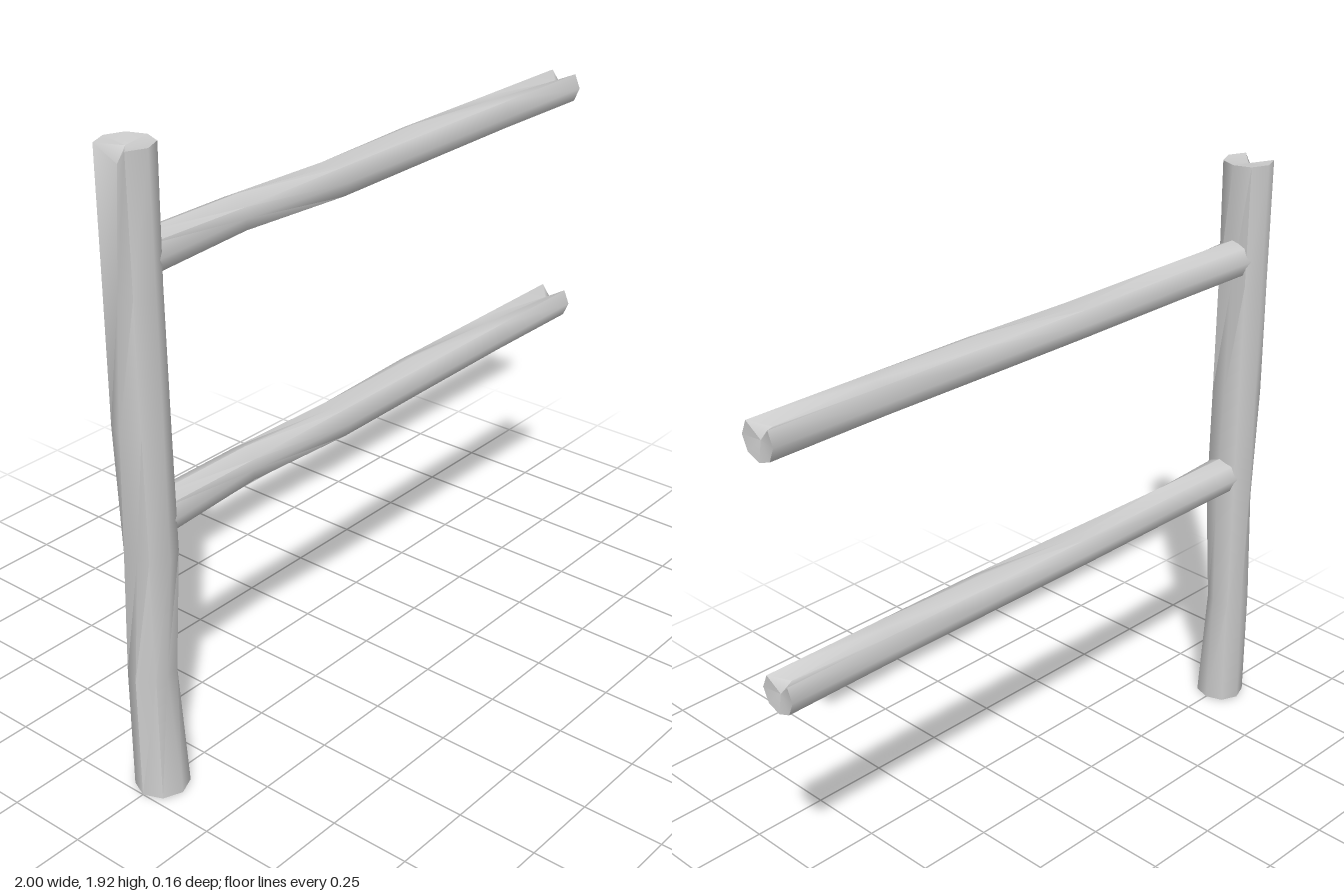
import * as THREE from 'three';
import { toCreasedNormals } from 'three/addons/utils/BufferGeometryUtils.js';

const LENGTH = 1.92;
const SIDES = 8;

// Radii of the rough log at each ring, going from +x through +z, -x and -z
const RINGS = [
  [0.075, 0.079, 0.08, 0.08, 0.08, 0.079, 0.077, 0.077],
  [0.063, 0.058, 0.043, 0.06, 0.08, 0.079, 0.072, 0.076],
  [0.073, 0.079, 0.08, 0.072, 0.045, 0.068, 0.078, 0.078],
  [0.064, 0.076, 0.08, 0.079, 0.08, 0.079, 0.078, 0.077],
  [0.053, 0.074, 0.08, 0.079, 0.056, 0.078, 0.078, 0.075],
  [0.076, 0.078, 0.08, 0.079, 0.03, 0.078, 0.078, 0.078],
];

function logGeometry() {
  const pos = [];
  const index = [];
  const last = RINGS.length - 1;
  RINGS.forEach((ring, j) => ring.forEach((r, i) => {
    const a = (i / SIDES) * Math.PI * 2;
    // One rim corner at the top is chipped
    const chip = j === last && i === 4 ? 0.05 : 0;
    pos.push(r * Math.cos(a), (LENGTH * j) / last - chip, r * Math.sin(a));
  }));
  const bottom = pos.length / 3;
  const top = bottom + 1;
  pos.push(0, 0, 0, 0, LENGTH - 0.01, 0);

  for (let i = 0; i < SIDES; i++) {
    const n = (i + 1) % SIDES;
    for (let j = 0; j < last; j++) {
      const a = j * SIDES + i, b = j * SIDES + n;
      index.push(a, a + SIDES, b, b, a + SIDES, b + SIDES);
    }
    // End caps
    index.push(bottom, i, n, top, last * SIDES + n, last * SIDES + i);
  }

  const geo = new THREE.BufferGeometry();
  geo.setAttribute('position', new THREE.Float32BufferAttribute(pos, 3));
  geo.setIndex(index);
  return toCreasedNormals(geo, Math.PI / 3);
}

export function createModel() {
  const group = new THREE.Group();
  group.name = 'fenceSection';
  const material = new THREE.MeshStandardMaterial({ color: 0xcccccc, side: THREE.DoubleSide });
  const geometry = logGeometry();

  // Upright post
  const post = new THREE.Mesh(geometry, material);
  post.name = 'post';
  post.position.x = -0.92;
  group.add(post);

  // Two rails: the same log, thinner and laid sideways
  for (const [name, y] of [['lowerRail', 0.865], ['upperRail', 1.615]]) {
    const rail = new THREE.Mesh(geometry, material);
    rail.name = name;
    rail.scale.set(0.79, 1, 0.79);
    rail.rotation.z = -Math.PI / 2;
    rail.position.set(-0.92, y, 0);
    group.add(rail);
  }
  return group;
}
